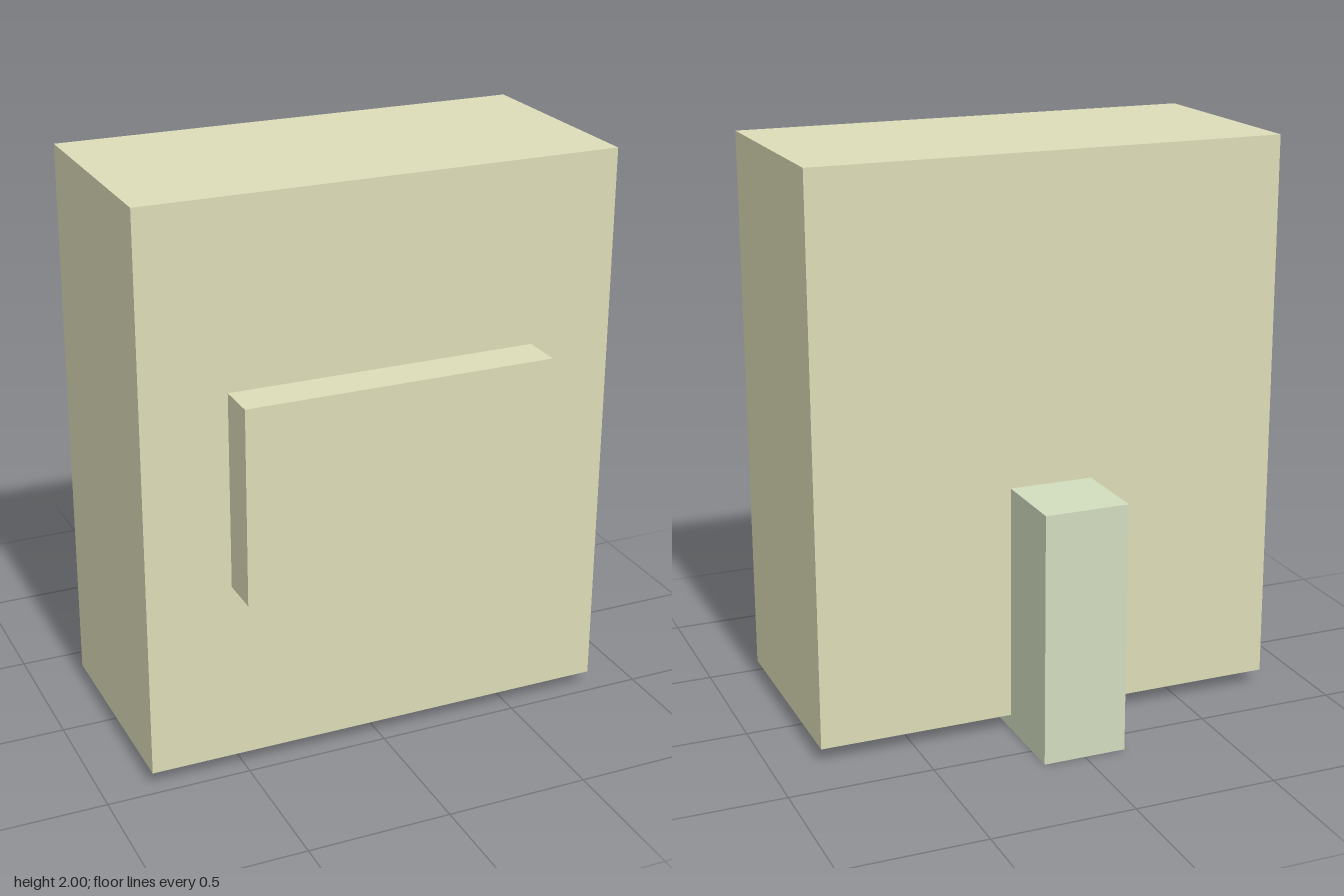
import * as THREE from 'three';

// Box given by its half width (centred on x) and its y and z ranges
function block(name, color, halfWidth, [y0, y1], [z0, z1]) {
  const mesh = new THREE.Mesh(
    new THREE.BoxGeometry(halfWidth * 2, y1 - y0, z1 - z0),
    new THREE.MeshStandardMaterial({ color })
  );
  mesh.position.set(0, (y0 + y1) / 2, (z0 + z1) / 2);
  mesh.name = name;
  return mesh;
}

export function createModel() {
  const cream = 0xdcdcb8;
  const paleGreen = 0xd2dcbe;
  const group = new THREE.Group();
  group.name = 'cabinet';

  group.add(
    // Main body, raised slightly off the ground
    block('body', cream, 0.83, [0.053, 2], [-0.316, 0.463]),
    // Raised panel on the front face
    block('frontPanel', cream, 0.537, [0.687, 1.365], [0.463, 0.608]),
    // Rear post, running under and into the body
    block('rearPost', paleGreen, 0.147, [0, 0.879], [-0.608, -0.022])
  );
  return group;
}
